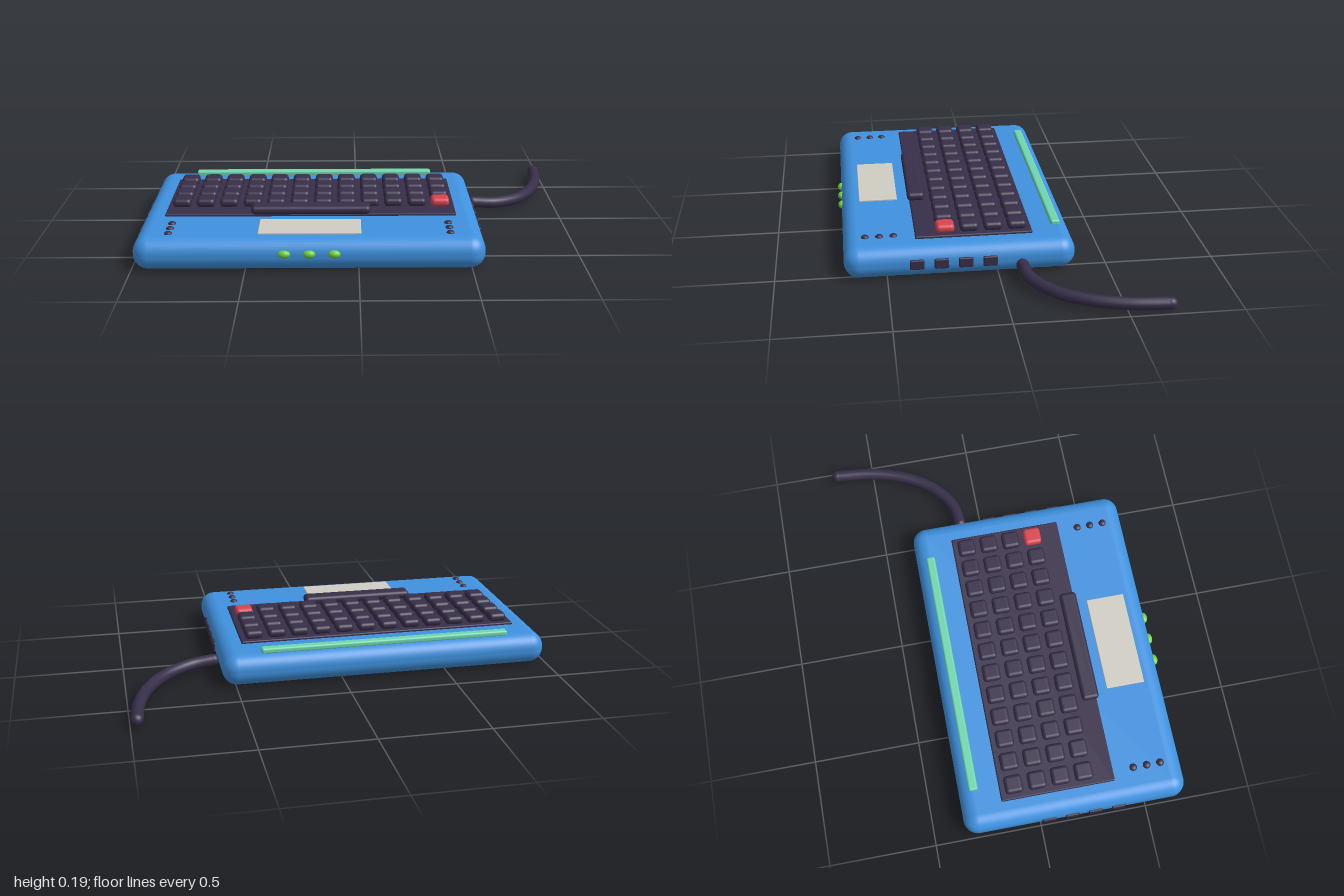
import * as THREE from 'three';
import { RoundedBoxGeometry } from 'three/addons/geometries/RoundedBoxGeometry.js';

const material = (name, color) => {
  const m = new THREE.MeshStandardMaterial({ color });
  m.name = name;
  return m;
};

export function createModel() {
  const blue = material('case blue', 0x3f92e0);
  const dark = material('dark plum', 0x372e49);
  const red = material('key red', 0xd8444f);
  const mint = material('strip mint', 0x6ed6ae);
  const green = material('light green', 0x6fd13c);
  const beige = material('pad beige', 0xcfccc3);

  const model = new THREE.Group();
  model.name = 'keyboardComputer';

  const add = (name, geometry, mat, x, y, z, parent = model) => {
    const mesh = new THREE.Mesh(geometry, mat);
    mesh.name = name;
    mesh.position.set(x, y, z);
    parent.add(mesh);
    return mesh;
  };
  const group = (name) => {
    const g = new THREE.Group();
    g.name = name;
    model.add(g);
    return g;
  };
  const rounded = (w, h, d, r, segments = 3) => new RoundedBoxGeometry(w, h, d, segments, r);

  // Case
  const cx = -0.217;
  add('case', rounded(1.55, 0.147, 1.046, 0.068, 6), blue, cx, 0.0735, 0.168);

  // Keyboard bed, keys and space bar
  add('keyBed', rounded(1.335, 0.024, 0.534, 0.006, 2), dark, cx, 0.146, 0.099);
  const keys = group('keys');
  const pitch = 0.1095;
  const keyShape = rounded(0.085, 0.04, 0.085, 0.018);
  for (let row = 0; row < 4; row++) {
    for (let col = 0; col < 12; col++) {
      const isRed = row === 3 && col === 11;
      add(isRed ? 'redKey' : 'key', keyShape, isRed ? red : dark,
        cx + (col - 5.5) * pitch, 0.175, -0.101 + row * pitch, keys);
    }
  }
  add('spaceBar', rounded(0.547, 0.04, 0.082, 0.018), dark, cx, 0.175, 0.336, keys);

  // Touch pad and light strip
  add('touchPad', rounded(0.457, 0.016, 0.183, 0.004, 2), beige, cx, 0.147, 0.516);
  add('lightStrip', rounded(1.186, 0.028, 0.043, 0.01), mint, cx, 0.154, -0.286);

  // Small studs beside the touch pad
  const studs = group('studs');
  const studShape = new THREE.SphereGeometry(0.018, 16, 10);
  for (const side of [-1, 1]) {
    for (let i = 0; i < 3; i++) {
      add('stud', studShape, dark, cx + side * 0.622, 0.147, 0.463 + i * 0.064, studs)
        .scale.y = 0.65;
    }
  }

  // Front status lights
  const lights = group('statusLights');
  const lightShape = new THREE.SphereGeometry(0.0275, 20, 12);
  for (let i = -1; i <= 1; i++) {
    add('statusLight', lightShape, green, cx + i * pitch, 0.085, 0.689, lights)
      .scale.set(1, 0.66, 0.7);
  }

  // Ports along both sides
  const ports = group('ports');
  const portShape = rounded(0.03, 0.047, 0.065, 0.006, 2);
  for (const side of [-1, 1]) {
    for (let i = 0; i < 4; i++) {
      add('port', portShape, dark, cx + side * 0.768, 0.073, 0.038 + i * pitch, ports);
    }
  }

  // Cable curving away to the back, with round ends
  const cable = group('cable');
  const path = new THREE.CatmullRomCurve3([
    [0.58, 0.054, -0.104], [0.685, 0.045, -0.12], [0.81, 0.038, -0.205],
    [0.9, 0.036, -0.345], [0.95, 0.036, -0.505], [0.97, 0.037, -0.68],
  ].map((p) => new THREE.Vector3(...p)));
  add('cord', new THREE.TubeGeometry(path, 48, 0.028, 14), dark, 0, 0, 0, cable);
  const endShape = new THREE.SphereGeometry(0.0285, 16, 12);
  for (const t of [0, 1]) {
    const p = path.getPoint(t);
    add('cordEnd', endShape, dark, p.x, p.y, p.z, cable);
  }

  return model;
}
